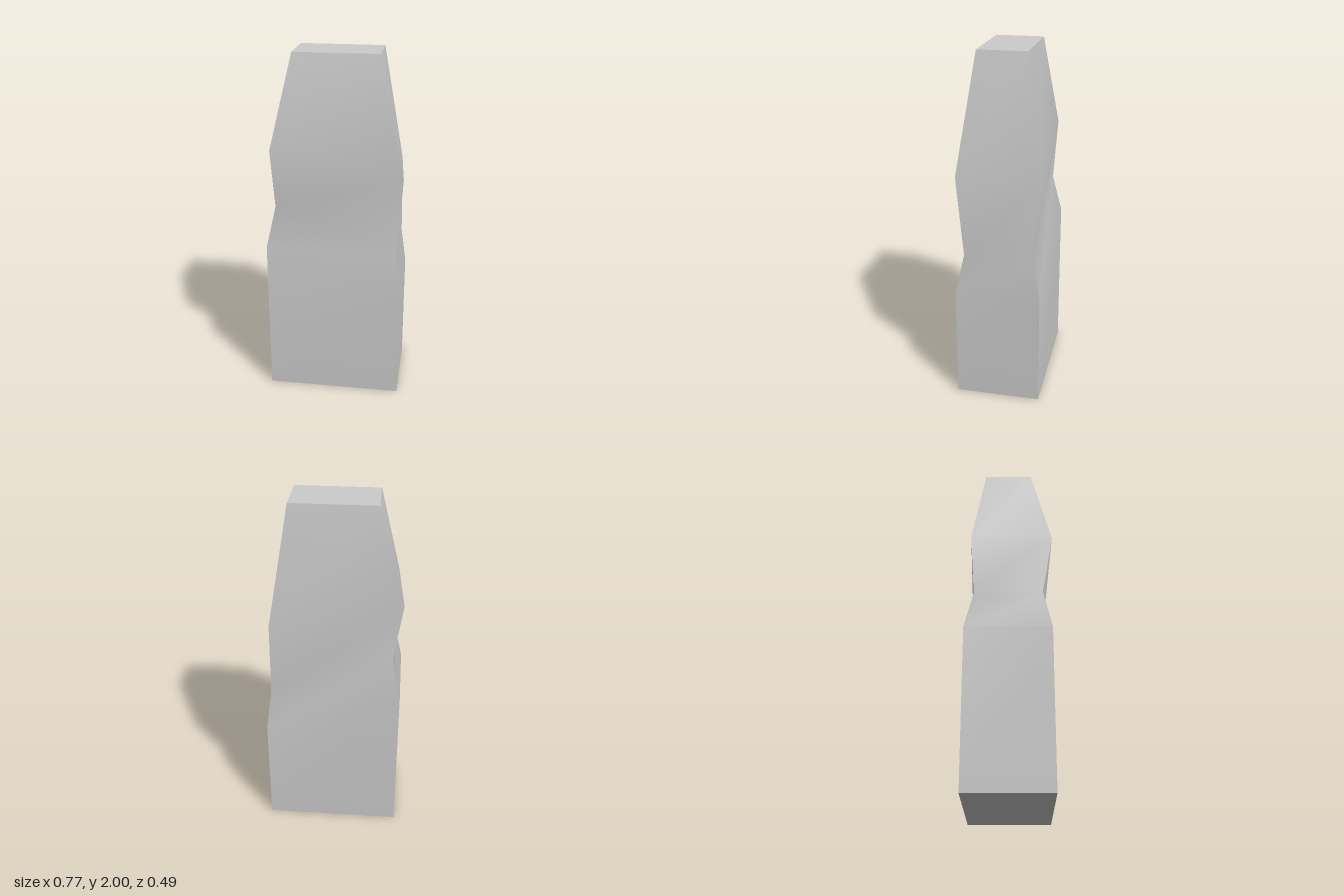
import * as THREE from 'three';

// Cross-sections from bottom to top; corners run
// front right, front left, back left, back right (model's own sides).
const rings = [
  [[-0.385, 0, 0.237], [0.383, 0, 0.237], [0.383, 0, -0.246], [-0.385, 0, -0.246]],
  [[-0.385, 0.905, 0.237], [0.383, 0.655, 0.237], [0.383, 0.655, -0.246], [-0.385, 0.905, -0.246]],
  [[-0.337, 1.14, 0.189], [0.355, 0.88, 0.189], [0.357, 0.88, -0.197], [-0.335, 1.135, -0.197]],
  [[-0.348, 1.485, 0.246], [0.383, 1.345, 0.221], [0.345, 1.33, -0.238], [-0.385, 1.475, -0.215]],
  [[-0.237, 2, 0.132], [0.236, 2, 0.132], [0.236, 2, -0.142], [-0.237, 2, -0.142]],
];

const material = new THREE.MeshStandardMaterial({ color: 0xcccccc });

// Smooth surface through rows of two points each
function strip(name, rows) {
  const index = [];
  for (let i = 0; i < rows.length - 1; i++) {
    const a = i * 2;
    index.push(a, a + 1, a + 3, a, a + 3, a + 2);
  }
  const geometry = new THREE.BufferGeometry();
  geometry.setAttribute('position', new THREE.Float32BufferAttribute(rows.flat(2), 3));
  geometry.setIndex(index);
  geometry.computeVertexNormals();
  const mesh = new THREE.Mesh(geometry, material);
  mesh.name = name;
  return mesh;
}

export function createModel() {
  const group = new THREE.Group();
  group.name = 'pillar';

  // Four sides, sharp along the vertical corners and smooth up their height
  ['frontSide', 'leftSide', 'backSide', 'rightSide'].forEach((name, i) => {
    group.add(strip(name, rings.map((r) => [r[i], r[(i + 1) % 4]])));
  });

  // Flat ends
  const [bottom, top] = [rings[0], rings[rings.length - 1]];
  group.add(strip('topFace', [[top[0], top[1]], [top[3], top[2]]]));
  group.add(strip('bottomFace', [[bottom[3], bottom[2]], [bottom[0], bottom[1]]]));
  return group;
}
